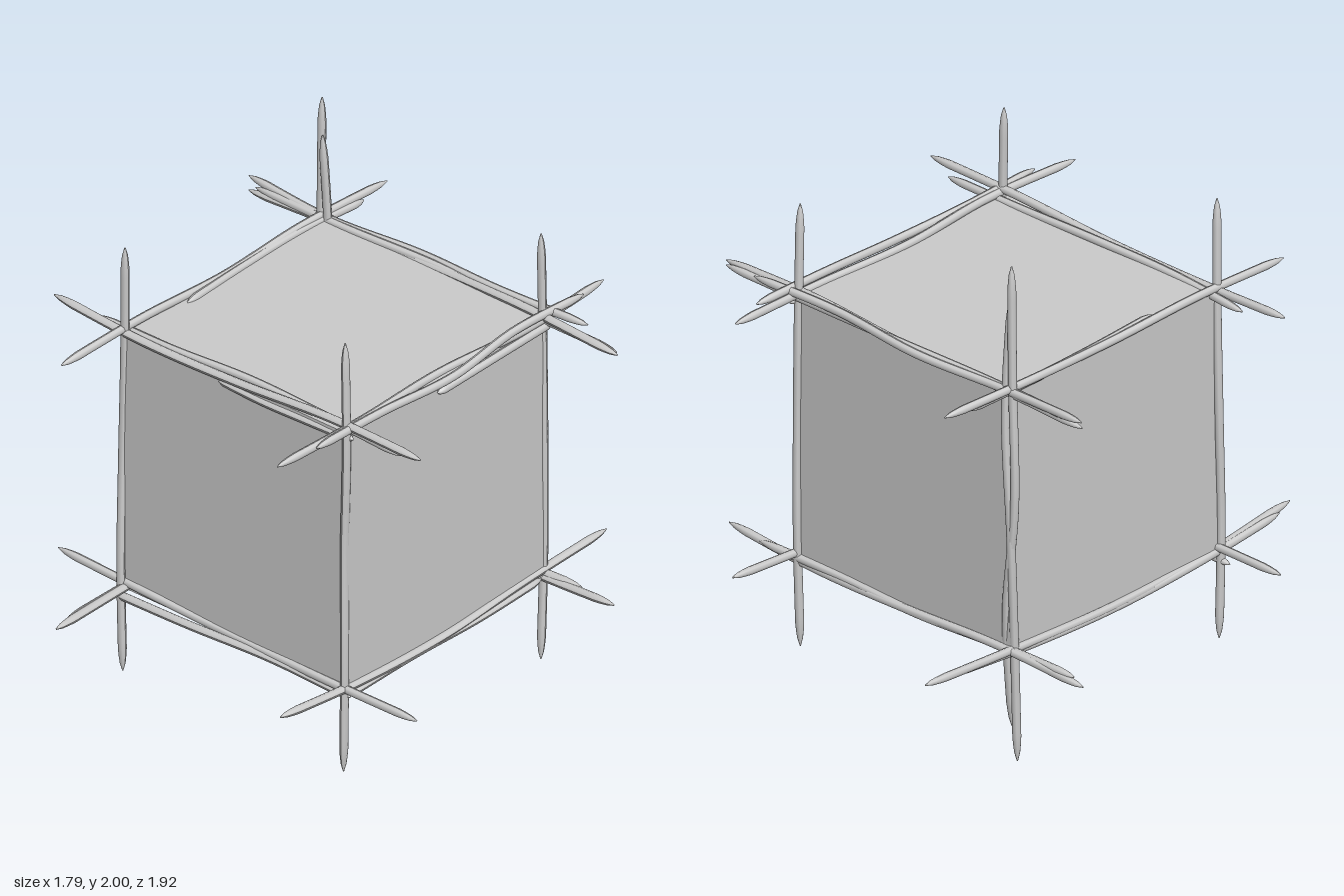
import * as THREE from 'three';

const grey = new THREE.MeshStandardMaterial({ color: 0xcccccc });

// Wavy pencil stroke: a tube through the points that narrows to both ends
function stroke(name, points) {
  const curve = new THREE.CatmullRomCurve3(points);
  const along = 56, around = 8, radius = 0.016;
  const geo = new THREE.TubeGeometry(curve, along, radius, around);
  const pos = geo.attributes.position;
  const p = new THREE.Vector3();
  for (let i = 0; i <= along; i++) {
    const t = i / along;
    const centre = curve.getPointAt(t);
    const end = Math.min(t, 1 - t) / 0.05;
    const k = end >= 1 ? 1 : 0.12 + 0.88 * Math.sqrt(end);
    for (let j = 0; j <= around; j++) {
      const n = i * (around + 1) + j;
      p.fromBufferAttribute(pos, n).sub(centre).multiplyScalar(k).add(centre);
      pos.setXYZ(n, p.x, p.y, p.z);
    }
  }
  geo.computeVertexNormals();
  const mesh = new THREE.Mesh(geo, grey);
  mesh.name = name;
  return mesh;
}

// Each stroke: start, end, then evenly spaced pairs of the two cross coordinates
// Upright strokes: y range, (x, z) pairs
const upright = [
  [0.12, 2.0, [[-0.49, -0.475], [-0.5, -0.515], [-0.555, -0.53], [-0.54, -0.525], [-0.53, -0.52]]],
  [0.0, 1.86, [[-0.53, -0.49], [-0.53, -0.505], [-0.535, -0.53], [-0.505, -0.525], [-0.51, -0.5]]],
  [0.1, 1.86, [[-0.53, 0.545], [-0.535, 0.55], [-0.54, 0.535], [-0.53, 0.535], [-0.515, 0.55]]],
  [0.1, 1.86, [[0.52, 0.545], [0.525, 0.545], [0.515, 0.535], [0.525, 0.535], [0.51, 0.525]]],
  [0.09, 1.86, [[0.515, -0.515], [0.52, -0.525], [0.525, -0.52], [0.52, -0.52], [0.525, -0.505]]],
];

// Crosswise strokes: x range, (y, z) pairs
const crosswise = [
  // upper back
  [-0.9, 0.7, [[1.515, -0.545], [1.5, -0.53], [1.505, -0.56], [1.52, -0.54], [1.525, -0.56]]],
  [-0.88, 0.89, [[1.475, -0.52], [1.495, -0.525], [1.5, -0.53], [1.515, -0.515], [1.5, -0.505]]],
  [-0.85, 0.87, [[1.495, -0.525], [1.5, -0.52], [1.505, -0.535], [1.495, -0.525], [1.495, -0.525]]],
  // upper front
  [-0.87, 0.88, [[1.515, 0.53], [1.495, 0.54], [1.5, 0.535], [1.525, 0.53], [1.525, 0.535]]],
  [-0.69, 0.77, [[1.485, 0.5], [1.5, 0.515], [1.51, 0.5], [1.5, 0.5], [1.49, 0.51]]],
  [-0.09, 0.55, [[1.475, 0.53], [1.47, 0.535], [1.475, 0.535], [1.475, 0.525]]],
  // lower front
  [-0.85, 0.88, [[0.475, 0.53], [0.465, 0.54], [0.445, 0.535], [0.445, 0.545], [0.455, 0.555]]],
  [-0.58, 0.55, [[0.41, 0.55], [0.425, 0.56], [0.43, 0.545], [0.415, 0.54]]],
  // lower back
  [-0.89, 0.87, [[0.44, -0.525], [0.455, -0.525], [0.44, -0.53], [0.43, -0.52], [0.455, -0.51]]],
  [-0.84, 0.7, [[0.46, -0.52], [0.45, -0.515], [0.44, -0.53], [0.445, -0.52], [0.45, -0.53]]],
];

// Lengthwise strokes: z range, (x, y) pairs
const lengthwise = [
  // upper right side (+x)
  [-0.85, 0.89, [[0.515, 1.51], [0.525, 1.5], [0.5, 1.505], [0.525, 1.515], [0.51, 1.51]]],
  [-0.71, 0.72, [[0.545, 1.525], [0.535, 1.53], [0.555, 1.505], [0.54, 1.515], [0.545, 1.525]]],
  [-0.55, 0.06, [[0.535, 1.475], [0.54, 1.47], [0.535, 1.455]]],
  // upper left side
  [-0.85, 0.87, [[-0.515, 1.51], [-0.535, 1.51], [-0.525, 1.5], [-0.53, 1.515], [-0.535, 1.505]]],
  [-0.72, 0.24, [[-0.51, 1.49], [-0.525, 1.5], [-0.515, 1.5], [-0.495, 1.5]]],
  // lower left side
  [-0.96, 0.96, [[-0.525, 0.48], [-0.53, 0.455], [-0.535, 0.44], [-0.52, 0.45], [-0.48, 0.475]]],
  [-0.82, 0.88, [[-0.5, 0.455], [-0.53, 0.44], [-0.535, 0.43], [-0.53, 0.445], [-0.505, 0.465]]],
  // lower right side
  [-0.85, 0.88, [[0.53, 0.485], [0.525, 0.46], [0.535, 0.435], [0.53, 0.44], [0.515, 0.47]]],
  [-0.5, 0.53, [[0.53, 0.435], [0.535, 0.425], [0.53, 0.425], [0.525, 0.41]]],
];

export function createModel() {
  const model = new THREE.Group();
  model.name = 'sketchedCube';

  // Solid body
  const cube = new THREE.Mesh(new THREE.BoxGeometry(1.06, 1.06, 1.06), grey);
  cube.name = 'cubeBody';
  cube.position.set(0, 0.97, 0.01);
  model.add(cube);

  // Overshooting edge strokes
  const sets = [
    ['uprightStroke', upright, (s, a, b) => new THREE.Vector3(a, s, b)],
    ['crosswiseStroke', crosswise, (s, a, b) => new THREE.Vector3(s, a, b)],
    ['lengthwiseStroke', lengthwise, (s, a, b) => new THREE.Vector3(a, b, s)],
  ];
  for (const [name, list, place] of sets) {
    const group = new THREE.Group();
    group.name = name + 's';
    list.forEach(([from, to, pairs], i) => {
      const points = pairs.map(([a, b], k) =>
        place(from + (to - from) * k / (pairs.length - 1), a, b));
      group.add(stroke(name + (i + 1), points));
    });
    model.add(group);
  }
  return model;
}
